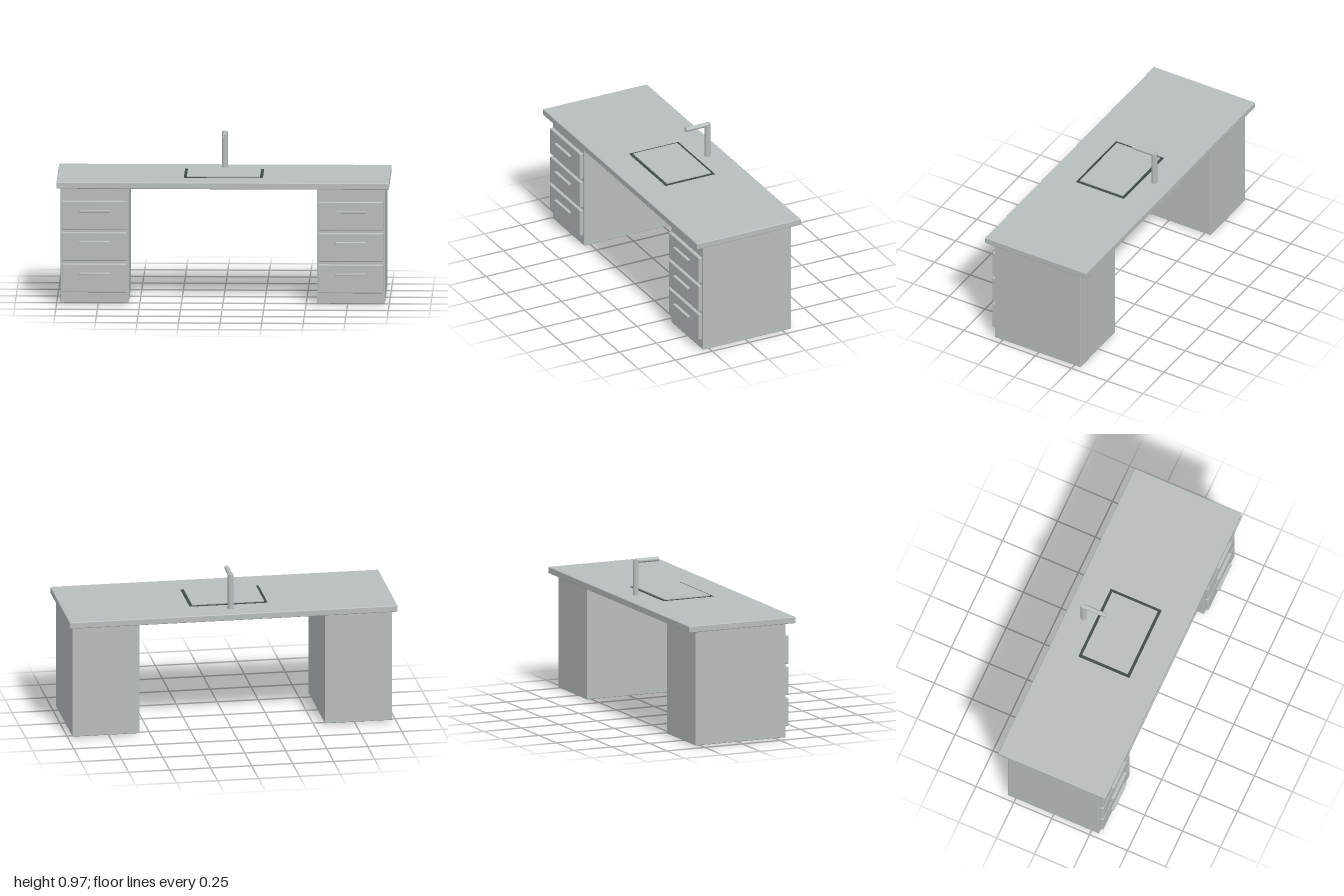
import * as THREE from 'three';
import { RoundedBoxGeometry } from 'three/addons/geometries/RoundedBoxGeometry.js';

export function createModel() {
  const model = new THREE.Group();
  model.name = 'sinkDesk';
  const grey = new THREE.MeshStandardMaterial({ name: 'paleGrey', color: 0xb8bebd });
  const dark = new THREE.MeshStandardMaterial({ name: 'darkGrey', color: 0x3f4a48 });

  const add = (parent, name, geometry, material, x, y, z) => {
    const mesh = new THREE.Mesh(geometry, material);
    mesh.name = name;
    mesh.position.set(x, y, z);
    parent.add(mesh);
    return mesh;
  };
  const box = (w, h, d, r) => new RoundedBoxGeometry(w, h, d, 3, r);

  // Worktop
  add(model, 'worktop', box(2, 0.04, 0.706, 0.005), grey, 0, 0.73, 0);

  // Pedestal cabinets with drawers, pulls and feet
  for (const side of [-1, 1]) {
    const cabinet = new THREE.Group();
    cabinet.name = side > 0 ? 'leftCabinet' : 'rightCabinet';
    cabinet.position.x = side * 0.77;
    model.add(cabinet);
    add(cabinet, 'carcass', box(0.41, 0.7, 0.6, 0.004), grey, 0, 0.36, 0);
    for (let i = 0; i < 3; i++) {
      const y = 0.162 + i * 0.191;
      add(cabinet, 'drawerFront', box(0.39, 0.174, 0.025, 0.006), grey, 0, y, 0.3115);
      add(cabinet, 'drawerPull', box(0.186, 0.013, 0.02, 0.003), grey, 0, y + 0.029, 0.339);
    }
    for (const z of [-0.217, 0.217]) {
      add(cabinet, 'foot', new THREE.CylinderGeometry(0.029, 0.029, 0.012, 24), dark, 0, 0.006, z);
    }
  }

  // Sink tub below the worktop
  add(model, 'sinkTub', box(0.53, 0.05, 0.38, 0.02), dark, 0, 0.715, 0);

  // Dark rim around the raised sink panel
  const rim = new THREE.Shape();
  rim.moveTo(-0.238, -0.168).lineTo(0.238, -0.168).lineTo(0.238, 0.168).lineTo(-0.238, 0.168).closePath();
  const hole = new THREE.Path();
  hole.moveTo(-0.218, -0.148).lineTo(-0.218, 0.148).lineTo(0.218, 0.148).lineTo(0.218, -0.148).closePath();
  rim.holes.push(hole);
  const rimGeometry = new THREE.ExtrudeGeometry(rim, { depth: 0.002, bevelEnabled: false }).rotateX(-Math.PI / 2);
  add(model, 'sinkRim', rimGeometry, dark, 0, 0.749, 0);
  add(model, 'sinkPanel', new THREE.BoxGeometry(0.44, 0.012, 0.3), grey, 0, 0.751, 0);

  // Tap: upright and horizontal spout
  const tap = new THREE.Group();
  tap.name = 'tap';
  model.add(tap);
  add(tap, 'tapUpright', new THREE.CylinderGeometry(0.0175, 0.0175, 0.22, 24), grey, 0, 0.858, -0.24);
  const spout = new THREE.CylinderGeometry(0.014, 0.014, 0.148, 24).rotateX(Math.PI / 2);
  add(tap, 'tapSpout', spout, grey, 0, 0.96, -0.166);

  return model;
}
